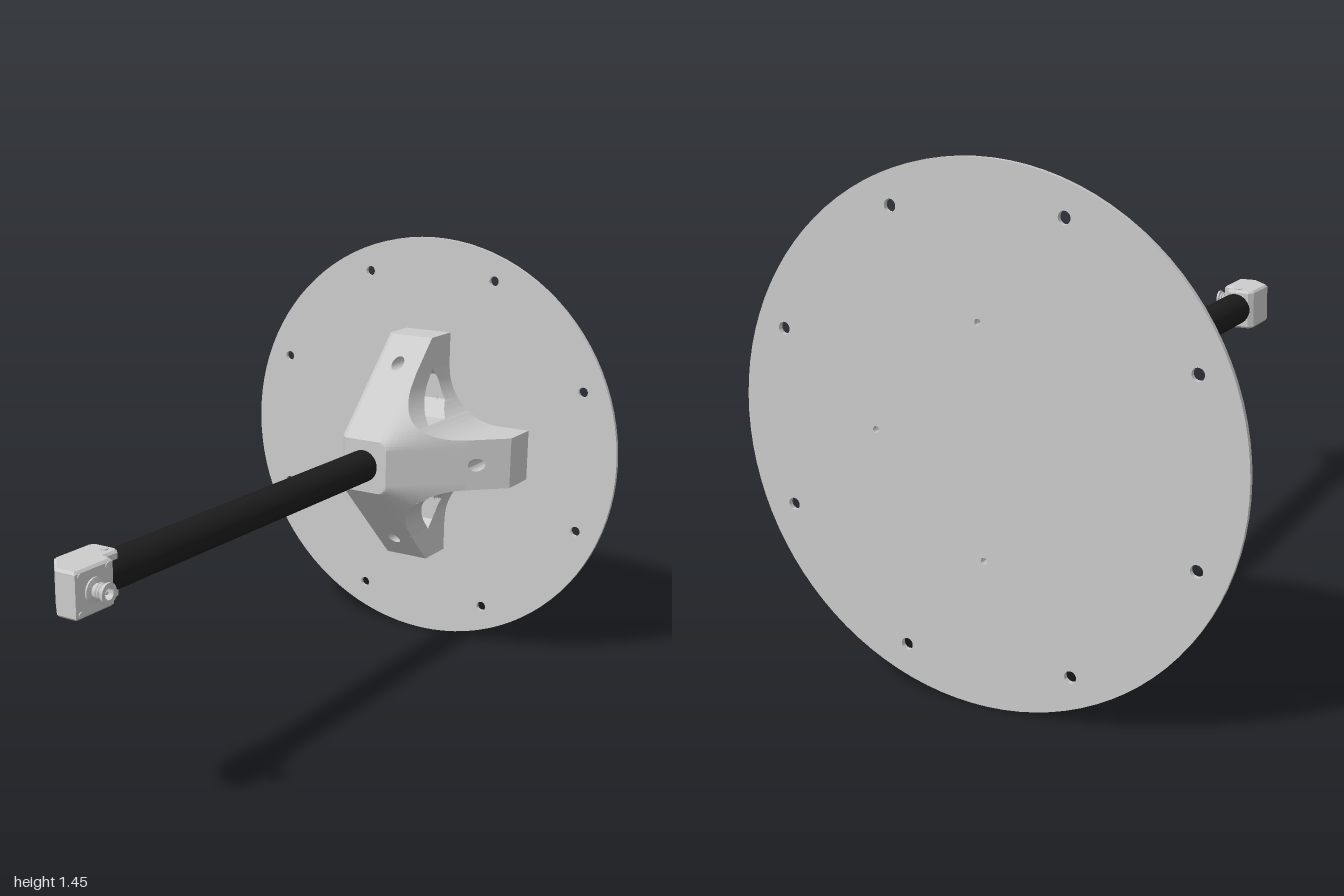
import * as THREE from 'three';
import { toCreasedNormals } from 'three/addons/utils/BufferGeometryUtils.js';

const grey = new THREE.MeshStandardMaterial({ color: 0xcccccc });
const black = new THREE.MeshStandardMaterial({ color: 0x1c1c1c });
const { lerp } = THREE.MathUtils;

const BACK = -0.985;  // rear of the bracket
const HALF = 0.0875;  // half width of an arm
const WIN = 0.13;     // inner edge of the windows
const END = 0.29;     // where the windows close

// Front surface of the bracket: 45 degree slopes blended by a cone, flat at the tip
function top(x, y) {
  const h = 0.06 + Math.hypot(Math.max(x - 0.06, 0), Math.max(Math.abs(y) - 0.06, 0));
  return -0.45 - Math.max(h, 0.09) - Math.max(0, -0.07 - x);
}
// Half height of the bracket outline along the fillet between two arms
const fillet = (x) => 0.2875 - Math.sqrt(Math.max(0, 0.04 - Math.max(0, 0.285 - x) ** 2));
// Front and rear limits of a window
const roof = (x, y) => -0.57 - Math.abs(y);
const sill = (x, y) => {
  const r = Math.abs(y);
  return -0.9 + Math.max(0, (0.18 - r) * 1.6, (r - 0.265) * 1.6);
};
const back = () => BACK;

function add(group, name, geometry, material = grey, crease = 0.45) {
  const mesh = new THREE.Mesh(crease ? toCreasedNormals(geometry, crease) : geometry, material);
  mesh.name = name;
  group.add(mesh);
  return mesh;
}

function warp(geometry, rule) {
  const p = geometry.attributes.position;
  for (let i = 0; i < p.count; i++) p.setXYZ(i, ...rule(p.getX(i), p.getY(i), p.getZ(i)));
  return geometry;
}

// Block between x0 and x1, y limits depending on x, z limits depending on x and y
function block(x0, x1, nx, yLow, yHigh, ny, zLow, zHigh) {
  return warp(new THREE.BoxGeometry(1, 1, 1, nx, ny, 1), (u, v, w) => {
    const x = lerp(x0, x1, u + 0.5);
    const y = lerp(yLow(x), yHigh(x), v + 0.5);
    return [x, y, lerp(zLow(x, y), zHigh(x, y), w + 0.5)];
  });
}

function circlePath(x, y, r) {
  return new THREE.Path().absarc(x, y, r, 0, Math.PI * 2, true);
}

// Sloped arm end with a screw hole
function armEnd(x0, x1, y0, y1, hx, hy, slope) {
  const s = new THREE.Shape([[x0, y0], [x1, y0], [x1, y1], [x0, y1]].map((p) => new THREE.Vector2(...p)));
  s.holes.push(circlePath(hx, hy, 0.022));
  const g = new THREE.ExtrudeGeometry(s, { depth: 1, bevelEnabled: false, curveSegments: 24 });
  return warp(g, (x, y, z) => [x, y, z > 0.5 ? slope(x, y) : BACK]);
}

// Washer at the bottom of a screw hole
function seat(x, y) {
  const s = new THREE.Shape().absarc(x, y, 0.022, 0, Math.PI * 2, false);
  s.holes.push(circlePath(x, y, 0.009));
  return new THREE.ExtrudeGeometry(s, { depth: 0.085, bevelEnabled: false, curveSegments: 24 }).translate(0, 0, BACK);
}

function buildPlate() {
  const g = new THREE.Group();
  g.name = 'basePlate';
  const s = new THREE.Shape().absarc(0, 0, 0.725, 0, Math.PI * 2, false);
  for (let i = 0; i < 8; i++) {
    const a = ((i + 0.5) * Math.PI) / 4;
    s.holes.push(circlePath(Math.cos(a) * 0.64, Math.sin(a) * 0.64, 0.017));
  }
  for (const [x, y] of [[0, 0.315], [0, -0.315], [0.315, 0]]) s.holes.push(circlePath(x, y, 0.009));
  const geo = new THREE.ExtrudeGeometry(s, { depth: 0.014, bevelEnabled: false, curveSegments: 48 });
  add(g, 'disc', geo.translate(0, 0, -1));
  return g;
}

function buildBracket() {
  const g = new THREE.Group();
  g.name = 'bracket';
  // Core running out into the side arm, with the bevelled flat side
  const coreY = (x) => Math.min(WIN, fillet(x));
  const coreLow = (x) => -coreY(x);
  add(g, 'coreBevel', block(-0.09, -0.07, 1, coreLow, coreY, 52, back, top));
  add(g, 'core', block(-0.07, END, 72, coreLow, coreY, 52, back, top));
  add(g, 'sideArmEnd', armEnd(END, 0.4, -HALF, HALF, 0.315, 0, (x) => -0.45 - x));
  add(g, 'sideSeat', seat(0.315, 0));

  // Upper and lower arms, each with a window
  for (const side of [1, -1]) {
    const low = (a, b) => (side > 0 ? a : (x) => -b(x));
    const high = (a, b) => (side > 0 ? b : (x) => -a(x));
    const inner = () => WIN;
    const outer = () => END;
    const spans = [[-0.09, -0.07, 1, outer], [-0.07, 0.085, 16, outer], [0.085, 0.1623, 20, fillet]];
    for (const [x0, x1, n, limit] of spans) {
      const yl = low(inner, limit), yh = high(inner, limit);
      add(g, 'windowFront', block(x0, x1, n, yl, yh, 32, roof, top));
      add(g, 'windowBack', block(x0, x1, n, yl, yh, 32, back, sill));
    }
    const tip = () => 0.4;
    add(g, 'armEndBevel', block(-0.09, -0.07, 1, low(outer, tip), high(outer, tip), 1, back, top));
    const y0 = side > 0 ? END : -0.4;
    add(g, 'armEnd', armEnd(-0.07, 0.085, y0, y0 + 0.11, 0, side * 0.315, (x, y) => -0.45 - Math.abs(y)));
    add(g, 'armSeat', seat(0, side * 0.315));
  }
  return g;
}

function buildHead() {
  const g = new THREE.Group();
  g.name = 'head';
  // Housing drawn from above
  const outline = [[-0.066, 0.79], [-0.05, 0.775], [0.02, 0.775], [0.034, 0.79], [0.034, 0.84],
    [0.066, 0.848], [0.066, 0.998], [0, 0.998], [-0.066, 0.93]];
  const s = new THREE.Shape(outline.map((p) => new THREE.Vector2(...p)));
  const housing = new THREE.ExtrudeGeometry(s, {
    depth: 0.12, bevelThickness: 0.007, bevelSize: 0.007, bevelOffset: -0.007, bevelSegments: 1,
  });
  add(g, 'housing', housing.rotateX(Math.PI / 2).translate(0, 0.06, 0));

  // Threaded connector on the left side
  const profile = [[0, 0], [0.036, 0], [0.036, 0.006], [0.021, 0.01], [0.021, 0.018]];
  for (let i = 0; i < 3; i++) {
    const y = 0.018 + i * 0.009;
    profile.push([0.025, y + 0.002], [0.025, y + 0.005], [0.021, y + 0.009]);
  }
  profile.push([0.03, 0.046], [0.03, 0.053], [0.017, 0.053], [0.017, 0.02], [0, 0.02]);
  const lathe = new THREE.LatheGeometry(profile.map((p) => new THREE.Vector2(...p)), 24);
  add(g, 'connector', lathe.rotateZ(-Math.PI / 2).translate(0.065, 0, 0.925));
  add(g, 'connectorPin', new THREE.CylinderGeometry(0.005, 0.005, 0.03, 10)
    .rotateZ(Math.PI / 2).translate(0.095, 0, 0.925));

  // Small screws around the connector and on the clamp
  for (const y of [-0.052, 0.052]) {
    for (const z of [0.87, 0.98]) {
      add(g, 'screw', new THREE.CylinderGeometry(0.008, 0.008, 0.006, 12)
        .rotateZ(Math.PI / 2).translate(0.066, y, z));
    }
    add(g, 'clampScrew', new THREE.CylinderGeometry(0.012, 0.012, 0.006, 16)
      .translate(0, Math.sign(y) * 0.067, 0.805));
  }
  return g;
}

export function createModel() {
  const model = new THREE.Group();
  model.name = 'antennaFeed';
  const tube = new THREE.CylinderGeometry(0.055, 0.055, 1.42, 40).rotateX(Math.PI / 2).translate(0, 0, 0.13);
  add(model, 'tube', tube, black);
  model.add(buildPlate(), buildBracket(), buildHead());
  model.position.y = 0.725;
  return model;
}
